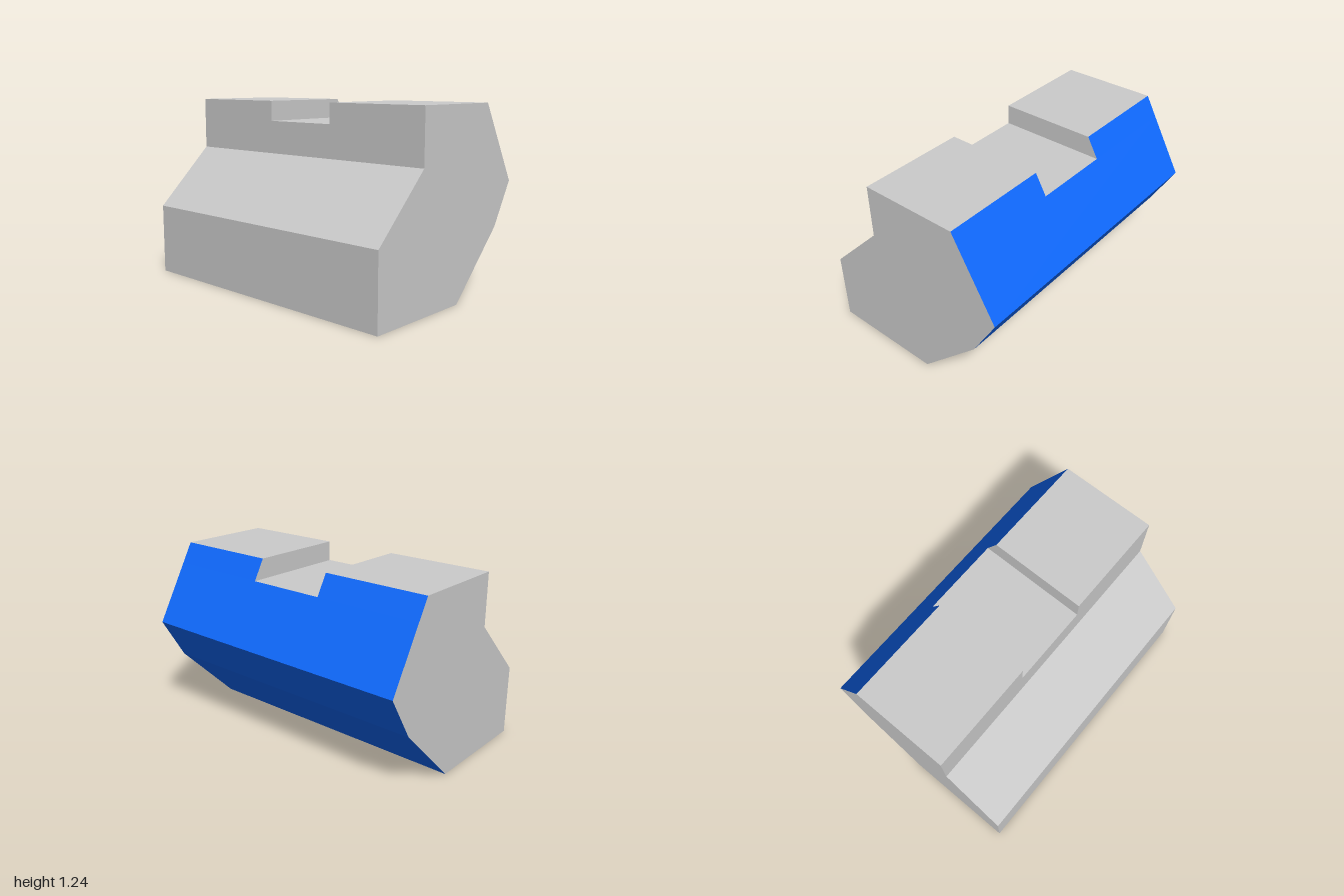
import * as THREE from 'three';

const END = 1;        // half length along z
const NOTCH = 0.27;   // half width of the notch in the top

// Cross-section corners, counter-clockwise seen from the front
const lower = [
  [-0.28, 1.1], [-0.28, 0.88], [-0.68, 0.48], [-0.68, 0],
  [0.085, 0], [0.51, 0.43], [0.677, 0.717], [0.457, 1.1],
];
const upper = [[0.457, 1.1], [0.38, 1.235], [-0.28, 1.235], [-0.28, 1.1]];

// Flat strips that carry a run of section corners from z0 to z1
function strips(points, z0, z1) {
  const pos = [];
  for (let i = 0; i + 1 < points.length; i++) {
    const a = points[i], b = points[i + 1];
    pos.push(...a, z1, ...a, z0, ...b, z0, ...a, z1, ...b, z0, ...b, z1);
  }
  const geo = new THREE.BufferGeometry();
  geo.setAttribute('position', new THREE.Float32BufferAttribute(pos, 3));
  geo.computeVertexNormals();
  return geo;
}

// Flat section face at depth z, looking along +z (dir 1) or -z (dir -1)
function face(points, z, dir) {
  const shape = new THREE.Shape(points.map(([x, y]) => new THREE.Vector2(x * dir, y)));
  const geo = new THREE.ShapeGeometry(shape);
  if (dir < 0) geo.rotateY(Math.PI);
  return geo.translate(0, 0, z);
}

export function createModel() {
  const group = new THREE.Group();
  const grey = new THREE.MeshStandardMaterial({ color: 0xcccccc });
  const blue = new THREE.MeshStandardMaterial({ color: 0x0f6aff });
  const add = (name, geo, material) => {
    const mesh = new THREE.Mesh(geo, material);
    mesh.name = name;
    group.add(mesh);
  };

  // Long sides below the notch: stepped left wall and base, then the coloured side
  add('bodySides', strips(lower.slice(0, 5), -END, END), grey);
  add('bluePanel', strips(lower.slice(4), -END, END), blue);

  // Floor of the notch
  add('notchFloor', strips([upper[0], upper[3]], -NOTCH, NOTCH), grey);

  // Raised blocks, end faces and notch walls on both sides of the middle
  const section = [...lower, upper[1], upper[2]];
  for (const dir of [1, -1]) {
    const [z0, z1] = dir > 0 ? [NOTCH, END] : [-END, -NOTCH];
    add('raisedBlock', strips(upper.slice(1), z0, z1), grey);
    add('raisedBluePanel', strips(upper.slice(0, 2), z0, z1), blue);
    add('endFace', face(section, dir * END, dir), grey);
    add('notchWall', face(upper, dir * NOTCH, -dir), grey);
  }
  return group;
}
